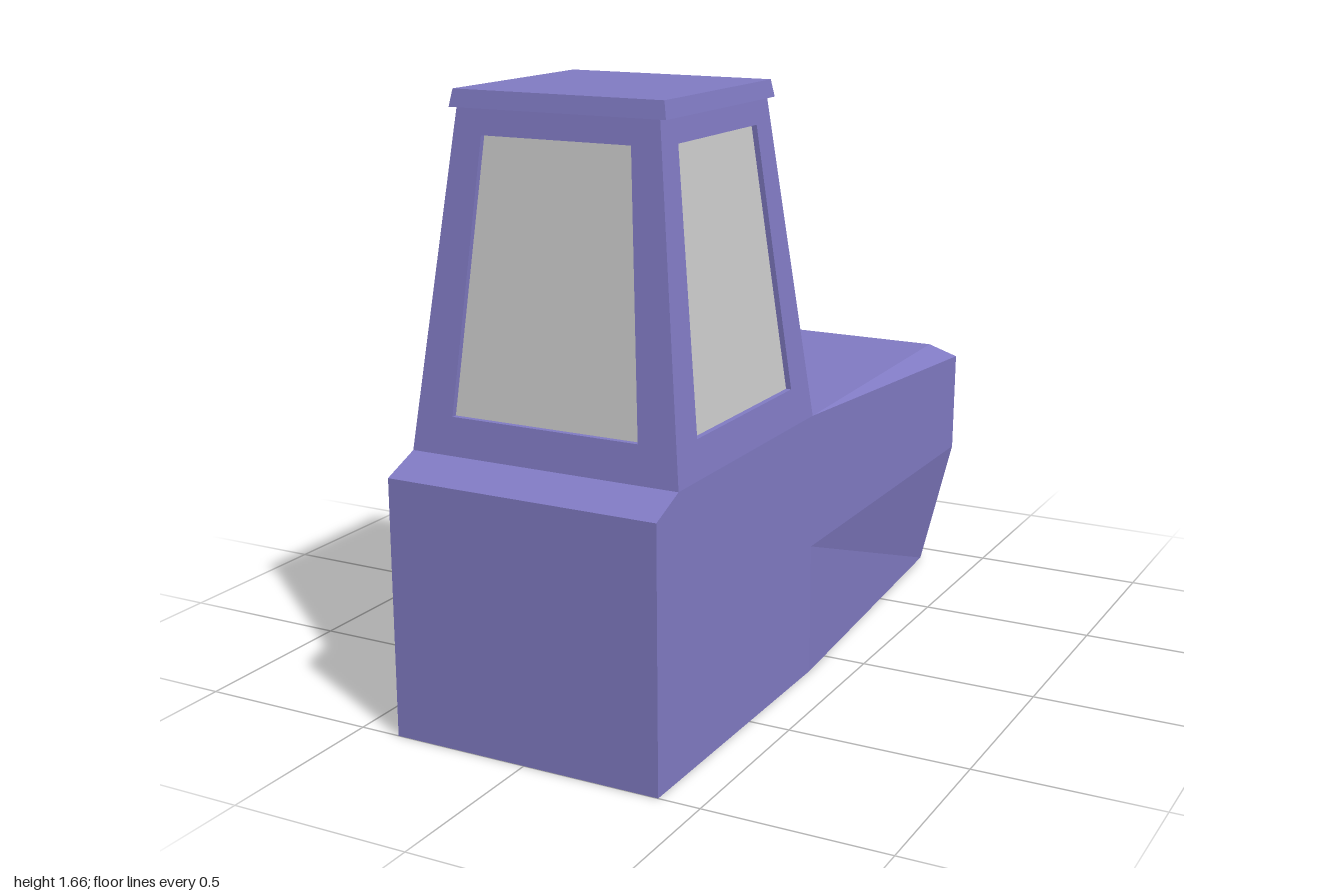
import * as THREE from 'three';

const paint = new THREE.MeshStandardMaterial({ color: 0x817bc4, flatShading: true });
const glass = new THREE.MeshStandardMaterial({ color: 0xcccccc, flatShading: true });

// Flat-shaded mesh from four-cornered faces (counter-clockwise from outside)
function quadMesh(name, quads, material) {
  const pos = quads.flatMap(([a, b, c, d]) => [a, b, c, a, c, d]).flat();
  const geo = new THREE.BufferGeometry();
  geo.setAttribute('position', new THREE.Float32BufferAttribute(pos, 3));
  geo.computeVertexNormals();
  const mesh = new THREE.Mesh(geo, material);
  mesh.name = name;
  return mesh;
}

// Frame between two matching loops, with a recessed pane set back along z.
// Loops run down the left edge and up the right edge, seen from outside.
function recessedPanel(name, outer, inner, recess) {
  const n = outer.length;
  const back = inner.map(([x, y, z]) => [x, y, z + recess]);
  const ring = (a, b) => a.map((p, i) => [p, a[(i + 1) % n], b[(i + 1) % n], b[i]]);
  const pane = [];
  for (let i = 0; i < n / 2 - 1; i++) pane.push([back[i], back[i + 1], back[n - 2 - i], back[n - 1 - i]]);
  const group = new THREE.Group();
  group.name = name;
  group.add(
    quadMesh(name + 'Frame', [...ring(outer, inner), ...ring(inner, back)], paint),
    quadMesh(name + 'Pane', pane, glass),
  );
  return group;
}

const mirrorX = ([x, y, z]) => [-x, y, z];
// Closes a left-hand edge with its mirror image
const loop = (edge) => [...edge, ...edge.map(mirrorX).reverse()];

export function createModel() {
  const model = new THREE.Group();
  const W = 0.385, Y = 0.745, Z = 0.12; // half width, deck height, hood start

  // Main body: side profile extruded across the width
  const profile = new THREE.Shape(
    [[Z, 0], [1, 0], [1, 0.7], [0.89, Y], [Z, Y]].map(([z, y]) => new THREE.Vector2(z, y)));
  const bodyGeo = new THREE.ExtrudeGeometry(profile, { depth: 2 * W, bevelEnabled: false });
  bodyGeo.rotateY(-Math.PI / 2).translate(W, 0, 0);
  const body = new THREE.Mesh(bodyGeo, paint);
  body.name = 'body';
  model.add(body);

  // Hood: straight section at the body lofted to the faceted end
  const near = [[W, Y, Z], [W, 0.67, Z], [W, 0.37, Z], [W, 0, Z]];
  const far = [[0.316, 0.715, -0.94], [W, 0.67, -1], [W, 0.37, -0.99], [0.316, 0, -0.91]];
  const faces = [];
  for (let i = 0; i < 3; i++) {
    const q = [near[i], near[i + 1], far[i + 1], far[i]];
    faces.push(q, q.map(mirrorX).reverse());
  }
  const across = (a, b) => [a, b, mirrorX(b), mirrorX(a)];
  faces.push(
    across(near[0], far[0]), // top
    across(far[0], far[1]),  // sloping end edge
    across(far[3], near[3]), // underside
  );
  model.add(quadMesh('hood', faces, paint));

  // Grille recessed into the hood end
  model.add(recessedPanel('grille', loop(far.slice(1)),
    loop([[0.28, 0.665, -1], [0.28, 0.37, -0.99], [0.235, 0.06, -0.923]]), 0.02));

  // Cab: four equal tapering walls, each with a recessed window
  const cab = new THREE.Group();
  cab.name = 'cab';
  cab.position.z = 0.505;
  const top = 1.615;
  const wallZ = (y) => W - 0.098 * (y - Y) / (top - Y);
  const outer = loop([[-wallZ(top), top, wallZ(top)], [-W, Y, W]]);
  const inner = loop([[-0.212, 1.55, wallZ(1.55)], [-0.268, 0.845, wallZ(0.845)]]);
  ['front', 'left', 'back', 'right'].forEach((side, i) => {
    const wall = recessedPanel(side + 'Window', outer, inner, -0.015);
    wall.rotation.y = i * Math.PI / 2;
    cab.add(wall);
  });

  // Roof slab with a slight overhang
  const roofGeo = new THREE.CylinderGeometry(0.298 * Math.SQRT2, 0.306 * Math.SQRT2, 0.045, 4);
  roofGeo.rotateY(Math.PI / 4);
  const roof = new THREE.Mesh(roofGeo, paint);
  roof.name = 'roof';
  roof.scale.z = 0.96;
  roof.position.y = 1.6375;
  cab.add(roof);
  model.add(cab);

  return model;
}
